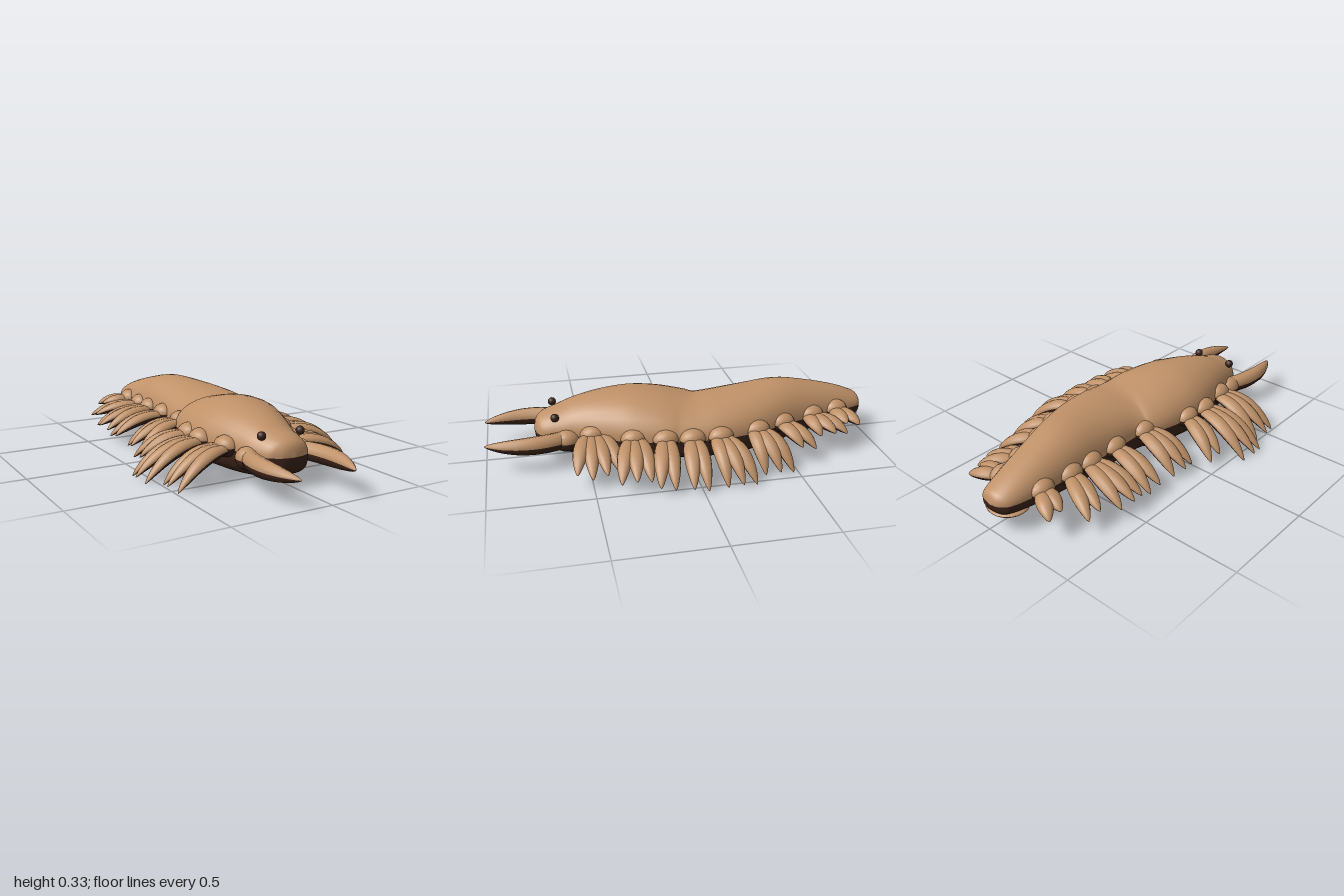
import * as THREE from 'three';

const UP = new THREE.Vector3(0, 1, 0);
const MID = 0.16; // height where the back meets the belly

// Closed loft through sections { p, w, up, down }: back and belly are two material groups.
function loft(name, sections, materials, sides = 16, belly = 1) {
  const pos = [], back = [], under = [];
  const n = sections.length;
  sections.forEach((s, i) => {
    const t = sections[Math.min(i + 1, n - 1)].p.clone().sub(sections[Math.max(i - 1, 0)].p).normalize();
    const side = new THREE.Vector3().crossVectors(UP, t).normalize();
    const up = new THREE.Vector3().crossVectors(t, side);
    for (let j = 0; j < sides; j++) {
      const a = (j / sides) * Math.PI * 2;
      let c = Math.cos(a), d = Math.sin(a);
      if (j > sides / 2) {
        c = Math.sign(c) * Math.abs(c) ** belly;
        d = -(Math.abs(d) ** belly);
      }
      const v = s.p.clone().addScaledVector(side, s.w * c).addScaledVector(up, d * (d > 0 ? s.up : s.down));
      pos.push(v.x, v.y, v.z);
    }
  });
  for (let i = 0; i < n - 1; i++) {
    for (let j = 0; j < sides; j++) {
      const k = (j + 1) % sides, a = i * sides, b = a + sides;
      (j < sides / 2 ? back : under).push(a + j, a + k, b + j, a + k, b + k, b + j);
    }
  }
  const g = new THREE.BufferGeometry();
  g.setAttribute('position', new THREE.Float32BufferAttribute(pos, 3));
  g.setIndex([...back, ...under]);
  g.addGroup(0, back.length, 0);
  g.addGroup(back.length, under.length, 1);
  g.computeVertexNormals();
  const mesh = new THREE.Mesh(g, materials);
  mesh.name = name;
  return mesh;
}

// Tapered blade or horn along a curve
function taper(name, curve, width, height, start, materials) {
  const sections = [];
  for (let i = 0; i <= 14; i++) {
    const t = Math.sin((i / 14) * Math.PI / 2); // closer rings towards the tip
    const r = Math.max(0.005, Math.sin(Math.PI * (start + (1 - start) * t))) ** 0.65;
    sections.push({ p: curve.getPoint(t), w: width * r, up: height * r, down: height * r });
  }
  return loft(name, sections, materials, 12);
}

// Ellipsoid knob, its long axis along z
function knob(name, x, y, z, rx, ry, rz, materials) {
  const sections = [];
  for (let i = 0; i <= 10; i++) {
    const a = (i / 10) * Math.PI, r = Math.max(0.01, Math.sin(a));
    sections.push({ p: new THREE.Vector3(x, y, z - rz * Math.cos(a)), w: rx * r, up: ry * r, down: ry * r });
  }
  return loft(name, sections, materials);
}

// Body stations from tail to head: z, right edge, left edge, bottom, top
const BODY = [
  [-1, -0.02, -0.02, MID, MID],
  [-0.985, -0.075, 0.035, 0.115, 0.2],
  [-0.95, -0.105, 0.07, 0.1, 0.222],
  [-0.85, -0.128, 0.102, 0.088, 0.26],
  [-0.7, -0.14, 0.145, 0.07, 0.302],
  [-0.52, -0.145, 0.2, 0.048, 0.337],
  [-0.32, -0.145, 0.275, 0.032, 0.326],
  [-0.16, -0.145, 0.31, 0.03, 0.311],
  [-0.05, -0.165, 0.312, 0.03, 0.3],
  [0.03, -0.205, 0.308, 0.03, 0.314],
  [0.13, -0.23, 0.29, 0.03, 0.334],
  [0.27, -0.245, 0.25, 0.03, 0.344],
  [0.42, -0.22, 0.19, 0.03, 0.328],
  [0.54, -0.185, 0.14, 0.036, 0.3],
  [0.62, -0.16, 0.12, 0.05, 0.27],
  [0.7, -0.125, 0.095, 0.068, 0.245],
  [0.738, -0.08, 0.05, 0.095, 0.215],
  [0.752, -0.015, -0.015, MID, MID],
];

// Legs per side: root z, reach in x, middle z of the blade tips, number of blades, tip height
const LEFT_LEGS = [
  [0.47, 0.43, 0.47, 4, 0.07], [0.28, 0.52, 0.31, 3, 0.07], [0.13, 0.55, 0.17, 2, 0.04],
  [0, 0.565, 0.015, 2, 0.025], [-0.14, 0.56, -0.19, 3, 0.02], [-0.34, 0.48, -0.4, 3, 0.02],
  [-0.49, 0.38, -0.58, 2, 0.09], [-0.67, 0.32, -0.74, 3, 0.12], [-0.82, 0.26, -0.86, 2, 0.14],
];
const RIGHT_LEGS = [
  [0.46, 0.51, 0.48, 3, 0.015], [0.28, 0.57, 0.275, 3, 0.012], [0.15, 0.47, 0.07, 2, 0.05],
  [-0.1, 0.42, -0.11, 3, 0.05], [-0.31, 0.42, -0.34, 2, 0.06], [-0.48, 0.43, -0.5, 3, 0.08],
  [-0.61, 0.38, -0.71, 2, 0.1], [-0.78, 0.28, -0.85, 2, 0.13],
];

// Smooth sections through the body stations
function bodySections() {
  const spline = (f) => new THREE.CatmullRomCurve3(BODY.map(f), false, 'catmullrom', 0.5);
  const low = spline(([z, x0, , bottom]) => new THREE.Vector3(x0, bottom, z));
  const high = spline(([z, , x1, , top]) => new THREE.Vector3(x1, top, z));
  const sections = [];
  for (let i = 0; i <= 68; i++) {
    const a = low.getPoint(i / 68), b = high.getPoint(i / 68);
    const p = new THREE.Vector3((a.x + b.x) / 2, MID, a.z);
    sections.push({ p, w: (b.x - a.x) / 2, up: b.y - MID, down: MID - a.y });
  }
  return sections;
}

// Leg: a knob on the flank with a drooping fan of blades
function makeLeg(side, rootX, [z, reach, tipZ, count, tipY], materials) {
  const leg = new THREE.Group();
  leg.name = side > 0 ? 'leftLeg' : 'rightLeg';
  const x = rootX - side * 0.015, y = 0.17;
  leg.add(knob('legKnob', x, y, z, 0.055, 0.052, 0.066, materials));
  for (let i = 0; i < count; i++) {
    const k = i - (count - 1) / 2; // place in the fan
    const tx = side * (reach - 0.03 * Math.max(0, Math.abs(k) - 0.5));
    const tz = tipZ + k * 0.07;
    const root = new THREE.Vector3(x + side * 0.01, y - 0.01, z + k * 0.025);
    const bend = new THREE.Vector3(x + (tx - x) * 0.55, y + 0.005, z + (tz - z) * 0.55 + k * 0.015);
    const tip = new THREE.Vector3(tx, tipY + (i % 2) * 0.015, tz);
    leg.add(taper('legBlade', new THREE.QuadraticBezierCurve3(root, bend, tip), 0.04, 0.03, 0.18, materials));
  }
  return leg;
}

export function createModel() {
  const model = new THREE.Group();
  model.name = 'bristleWorm';
  const tan = new THREE.MeshStandardMaterial({ color: 0xbf9168 });
  tan.name = 'tan back';
  const dark = new THREE.MeshStandardMaterial({ color: 0x3a2319 });
  dark.name = 'dark brown belly';
  const skin = [tan, dark];

  // Body: domed back, flat belly, pale lip under the tail
  const sections = bodySections();
  model.add(loft('body', sections, skin, 32, 0.6));
  model.add(knob('tailLip', -0.02, 0.106, -0.9, 0.107, 0.018, 0.095, skin));

  // Legs rooted on the flank nearest to their z
  for (const [side, legs] of [[1, LEFT_LEGS], [-1, RIGHT_LEGS]]) {
    for (const spec of legs) {
      const near = sections.reduce((a, b) => (Math.abs(b.p.z - spec[0]) < Math.abs(a.p.z - spec[0]) ? b : a));
      model.add(makeLeg(side, near.p.x + side * near.w, spec, skin));
    }
  }

  // Jaws and eyes, mirrored about the head's own axis
  const headX = -0.022;
  for (const s of [1, -1]) {
    const side = s > 0 ? 'left' : 'right';
    const jaw = new THREE.CatmullRomCurve3([
      [0.12, 0.57], [0.165, 0.67], [0.182, 0.79], [0.17, 0.9], [0.142, 1],
    ].map(([x, z]) => new THREE.Vector3(headX + s * x, 0.145, z)));
    model.add(taper(side + 'Jaw', jaw, 0.044, 0.046, 0.25, skin));
    model.add(knob(side + 'JawBase', headX + s * 0.145, 0.14, 0.6, 0.055, 0.055, 0.065, skin));

    const eye = new THREE.Mesh(new THREE.SphereGeometry(0.021, 14, 10), dark);
    eye.name = side + 'Eye';
    eye.position.set(headX + s * 0.106, 0.25, 0.65);
    model.add(eye);
  }
  return model;
}
